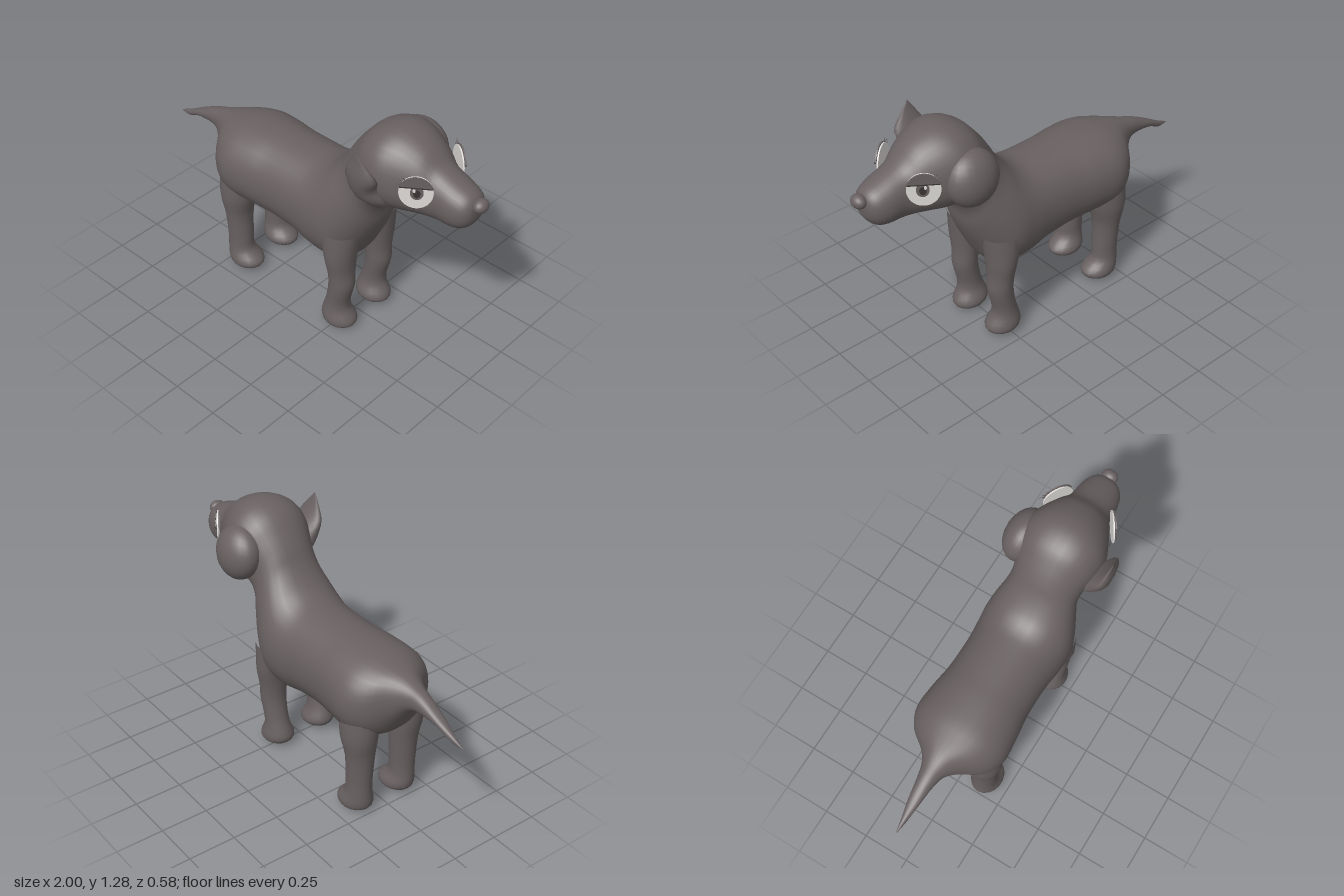
import * as THREE from 'three';

const coat = new THREE.MeshStandardMaterial({ color: 0x696161 });
coat.name = 'coat';
const eyeWhite = new THREE.MeshStandardMaterial({ color: 0xdedbd8 });
eyeWhite.name = 'eyeWhite';
const dark = new THREE.MeshStandardMaterial({ color: 0x3a3535 });
dark.name = 'dark';

const V = (x, y, z) => new THREE.Vector3(x, y, z);

// Smooth skin over rings { c: centre, u, v: half axes }, with u x v along the path
function loft(rings, sides, steps, power = 1) {
  const curve = key => new THREE.CatmullRomCurve3(rings.map(r => r[key]), false, 'catmullrom', 0.5);
  const [cc, cu, cv] = ['c', 'u', 'v'].map(curve);
  const rows = (rings.length - 1) * steps;
  const pos = [], index = [];
  const bend = a => Math.sign(a) * Math.abs(a) ** power;
  for (let i = 0; i <= rows; i++) {
    const c = cc.getPoint(i / rows), u = cu.getPoint(i / rows), v = cv.getPoint(i / rows);
    for (let j = 0; j < sides; j++) {
      const a = (j / sides) * Math.PI * 2;
      const p = c.clone().addScaledVector(u, bend(Math.cos(a))).addScaledVector(v, bend(Math.sin(a)));
      pos.push(p.x, p.y, p.z);
      if (i < rows) {
        const k = (j + 1) % sides, A = i * sides, B = A + sides;
        index.push(A + j, A + k, B + k, A + j, B + k, B + j);
      }
    }
  }
  const g = new THREE.BufferGeometry();
  g.setAttribute('position', new THREE.Float32BufferAttribute(pos, 3));
  g.setIndex(index);
  g.computeVertexNormals();
  return g;
}

// Ring between a top and a bottom point, with half width w
const slice = ([tx, ty, bx, by, w]) => ({
  c: V((tx + bx) / 2, (ty + by) / 2, 0), u: V((tx - bx) / 2, (ty - by) / 2, 0), v: V(0, 0, w),
});
// Level ring, for limbs running downwards
const level = ([x, y, z, rx, rz]) => ({ c: V(x, y, z), u: V(rx, 0, 0), v: V(0, 0, rz) });

function add(parent, name, geometry, material) {
  const m = new THREE.Mesh(geometry, material);
  m.name = name;
  parent.add(m);
  return m;
}

// Tail, torso, neck, head and muzzle in one skin: topX, topY, bottomX, bottomY, half width
const BODY = [
  [-1, 0.652, -1, 0.648, 0.002], [-0.93, 0.685, -0.93, 0.648, 0.015],
  [-0.84, 0.735, -0.85, 0.685, 0.03], [-0.74, 0.785, -0.73, 0.695, 0.045],
  [-0.67, 0.81, -0.66, 0.665, 0.065], [-0.6, 0.835, -0.6, 0.58, 0.115],
  [-0.52, 0.855, -0.53, 0.48, 0.205], [-0.43, 0.872, -0.43, 0.44, 0.25],
  [-0.3, 0.88, -0.3, 0.435, 0.243], [-0.18, 0.88, -0.15, 0.428, 0.226],
  [0, 0.883, 0, 0.41, 0.225], [0.08, 0.892, 0.14, 0.38, 0.235],
  [0.14, 0.92, 0.28, 0.4, 0.24], [0.19, 0.965, 0.36, 0.53, 0.22],
  [0.24, 1.03, 0.415, 0.66, 0.19], [0.28, 1.1, 0.435, 0.76, 0.175],
  [0.33, 1.17, 0.47, 0.83, 0.185], [0.4, 1.245, 0.53, 0.865, 0.21],
  [0.49, 1.283, 0.6, 0.88, 0.215], [0.58, 1.28, 0.67, 0.89, 0.185],
  [0.68, 1.235, 0.73, 0.895, 0.145], [0.755, 1.17, 0.79, 0.897, 0.115],
  [0.85, 1.13, 0.86, 0.9, 0.108], [0.92, 1.1, 0.91, 0.915, 0.09],
  [0.95, 1.065, 0.945, 0.955, 0.055], [0.955, 1.015, 0.955, 1.01, 0.003],
];

// Limb rings: x, y, z, half length, half width
const REAR_LEG = [
  [-0.42, 0.64, 0.13, 0.12, 0.09], [-0.435, 0.47, 0.14, 0.1, 0.09], [-0.44, 0.35, 0.135, 0.074, 0.075],
  [-0.435, 0.2, 0.135, 0.07, 0.065], [-0.432, 0.12, 0.135, 0.073, 0.066], [-0.405, 0.065, 0.13, 0.1, 0.082],
  [-0.4, 0.03, 0.13, 0.09, 0.075], [-0.4, 0.008, 0.13, 0.035, 0.03], [-0.4, 0.002, 0.13, 0.002, 0.002],
];
const FRONT_LEG = [
  [0.26, 0.62, 0.13, 0.11, 0.1], [0.275, 0.47, 0.14, 0.078, 0.09], [0.28, 0.37, 0.138, 0.066, 0.075],
  [0.284, 0.28, 0.138, 0.066, 0.068], [0.264, 0.18, 0.138, 0.063, 0.062], [0.255, 0.12, 0.136, 0.073, 0.066],
  [0.262, 0.065, 0.13, 0.095, 0.082], [0.27, 0.03, 0.13, 0.085, 0.074],
  [0.27, 0.012, 0.13, 0.035, 0.03], [0.27, 0.006, 0.13, 0.002, 0.002],
];
const UPRIGHT_EAR = [
  [0.48, 1.248, 0.282, 0.001, 0.001], [0.485, 1.19, 0.273, 0.045, 0.012], [0.49, 1.12, 0.257, 0.088, 0.034],
  [0.475, 1.04, 0.215, 0.075, 0.065], [0.49, 0.97, 0.165, 0.085, 0.08], [0.51, 0.91, 0.12, 0.06, 0.06],
];

// Thin ellipse plate; from and to choose an arc of it
function plate(x, y, rx, ry, from = 0, to = Math.PI * 2) {
  const s = new THREE.Shape();
  s.absellipse(x, y, rx, ry, from, to, false, 0);
  return new THREE.ExtrudeGeometry(s, { depth: 0.007, bevelEnabled: false, curveSegments: 28 });
}

// Layered eye; side is 1 for +z and -1 for -z
function makeEye(side) {
  const eye = new THREE.Group();
  eye.name = side > 0 ? 'rightEye' : 'leftEye';
  add(eye, 'eyeball', plate(0, 0, 0.078, 0.086), eyeWhite);
  add(eye, 'iris', plate(0.004 * side, 0, 0.03, 0.036), coat).position.z = 0.004;
  add(eye, 'pupil', plate(0.004 * side, -0.003, 0.016, 0.021), dark).position.z = 0.007;
  add(eye, 'glint', plate(-0.008 * side, 0.014, 0.007, 0.008), eyeWhite).position.z = 0.009;
  add(eye, 'eyelid', plate(0, 0, 0.08, 0.088, 0.36, Math.PI - 0.36), coat).position.z = 0.009;
  // Lid edge
  const edge = add(eye, 'lidEdge', new THREE.BoxGeometry(0.15, 0.005, 0.007), dark);
  edge.position.set(0, 0.031, 0.014);
  // Lashes at the rear corner
  for (let i = 0; i < 3; i++) {
    const lash = add(eye, 'lash', new THREE.ConeGeometry(0.004, 0.035, 5), coat);
    lash.position.set(-side * (0.083 - i * 0.012), 0.042 + i * 0.017, 0.012);
    lash.rotation.z = side * (1.15 - i * 0.2);
  }
  eye.position.set(0.72, 1.086, 0.148 * side);
  eye.rotation.y = Math.atan2(0.57, 0.82 * side);
  return eye;
}

export function createModel() {
  const dog = new THREE.Group();
  dog.name = 'dog';
  add(dog, 'body', loft(BODY.map(slice), 32, 4, 0.92), coat);

  for (const side of [1, -1]) {
    for (const [name, rings] of [['rearLeg', REAR_LEG], ['frontLeg', FRONT_LEG]]) {
      const placed = rings.map(([x, y, z, rx, rz]) => level([x, y, z * side, rx, rz]));
      add(dog, name, loft(placed, 18, 3), coat);
    }
    dog.add(makeEye(side));
  }

  // One ear pricked, the other folded against the head
  add(dog, 'uprightEar', loft(UPRIGHT_EAR.map(level), 14, 3), coat);
  const folded = add(dog, 'foldedEar', new THREE.SphereGeometry(1, 24, 16), coat);
  folded.scale.set(0.14, 0.14, 0.1);
  folded.position.set(0.48, 1.06, -0.188);
  folded.rotation.x = 0.15;

  const nose = add(dog, 'nose', new THREE.SphereGeometry(1, 20, 14), coat);
  nose.scale.set(0.034, 0.034, 0.043);
  nose.position.set(0.966, 1.055, 0);
  return dog;
}
